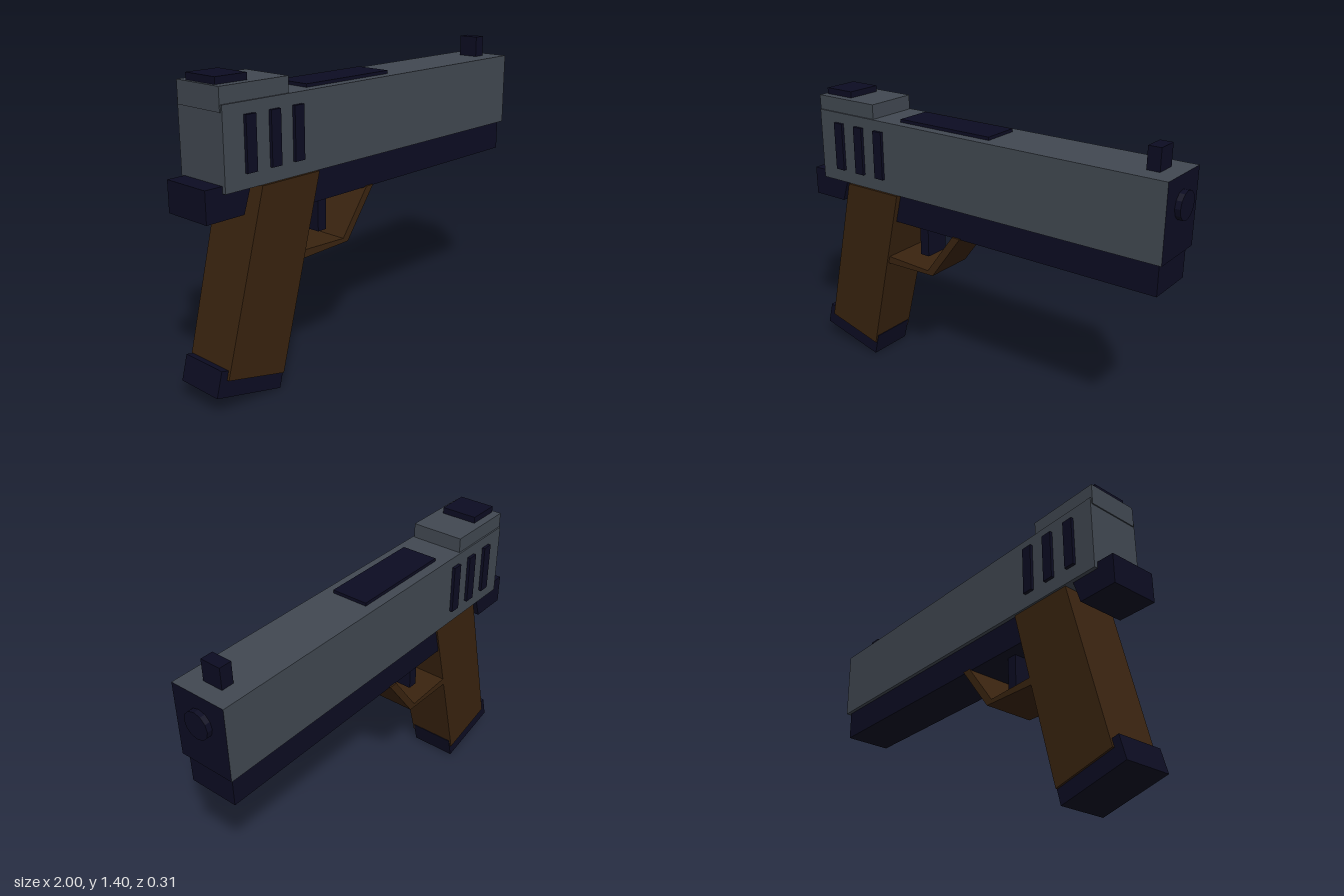
import * as THREE from 'three';

const material = (name, color) => {
  const m = new THREE.MeshStandardMaterial({ color });
  m.name = name;
  return m;
};

export function createModel() {
  const model = new THREE.Group();
  model.name = 'model';
  const grey = material('slate grey', 0x414851);
  const dark = material('dark navy', 0x0c0c22);
  const brown = material('dark brown', 0x39230f);

  const add = (name, geometry, mat) => {
    const mesh = new THREE.Mesh(geometry, mat);
    mesh.name = name;
    model.add(mesh);
    return mesh;
  };

  // Box given by its limits in x and y and its half width in z
  const box = (name, x0, x1, y0, y1, halfZ, mat) => {
    const mesh = add(name, new THREE.BoxGeometry(x1 - x0, y1 - y0, halfZ * 2), mat);
    mesh.position.set((x0 + x1) / 2, (y0 + y1) / 2, 0);
    return mesh;
  };

  // Side outline extruded evenly about z = 0
  const plate = (name, points, halfZ, mat) => {
    const shape = new THREE.Shape(points.map(([x, y]) => new THREE.Vector2(x, y)));
    const geometry = new THREE.ExtrudeGeometry(shape, { depth: halfZ * 2, bevelEnabled: false });
    geometry.translate(0, 0, -halfZ);
    return add(name, geometry, mat);
  };

  // Slide with a dark front end
  box('slide', -0.915, 0.975, 0.95, 1.3, 0.138, [dark, grey, grey, grey, grey, grey]);

  // Raised block and cap at the rear of the slide
  box('rearBlock', -0.92, -0.565, 1.27, 1.37, 0.13, grey);
  box('rearCap', -0.905, -0.745, 1.36, 1.4, 0.09, dark);

  // Top plate and front sight
  box('topPlate', -0.425, 0.09, 1.29, 1.315, 0.09, dark);
  box('frontSight', 0.835, 0.895, 1.29, 1.4, 0.05, dark);

  // Ribs on both sides of the slide
  for (const x of [-0.785, -0.655, -0.527]) {
    box('rib', x - 0.026, x + 0.026, 1.015, 1.25, 0.153, dark);
  }

  // Muzzle disc
  const muzzle = add('muzzle', new THREE.CylinderGeometry(0.064, 0.064, 0.05, 12).toNonIndexed(), dark);
  muzzle.geometry.computeVertexNormals();
  muzzle.rotation.z = -Math.PI / 2;
  muzzle.position.set(0.975, 1.172, 0);

  // Lower frame and rear tang
  plate('frame', [[-0.45, 0.805], [0.957, 0.805], [0.957, 0.955], [-0.42, 0.955]], 0.12, dark);
  plate('tang', [[-1, 0.84], [-0.81, 0.84], [-0.772, 0.955], [-0.772, 0.98], [-1, 0.98]], 0.12, dark);

  // Raked grip, its +z side widening toward the top
  const grip = plate('grip', [[-0.935, 0.155], [-0.63, 0.075], [-0.415, 0.95], [-0.735, 0.95]], 0.128, brown);
  const p = grip.geometry.attributes.position;
  for (let i = 0; i < p.count; i++) {
    if (p.getZ(i) > 0) p.setZ(i, 0.128 + 0.022 * (p.getY(i) - 0.075) / 0.875);
  }
  grip.geometry.computeVertexNormals();

  // Base under the grip
  plate('gripBase', [[-0.99, 0.09], [-0.645, 0.003], [-0.617, 0.115], [-0.96, 0.203]], 0.118, dark);

  // Trigger and its guard
  box('trigger', -0.345, -0.295, 0.64, 0.81, 0.065, dark);
  plate('triggerGuard', [
    [-0.54, 0.57], [-0.22, 0.578], [-0.05, 0.81],
    [-0.095, 0.81], [-0.25, 0.598], [-0.54, 0.61],
  ], 0.128, brown);

  return model;
}
